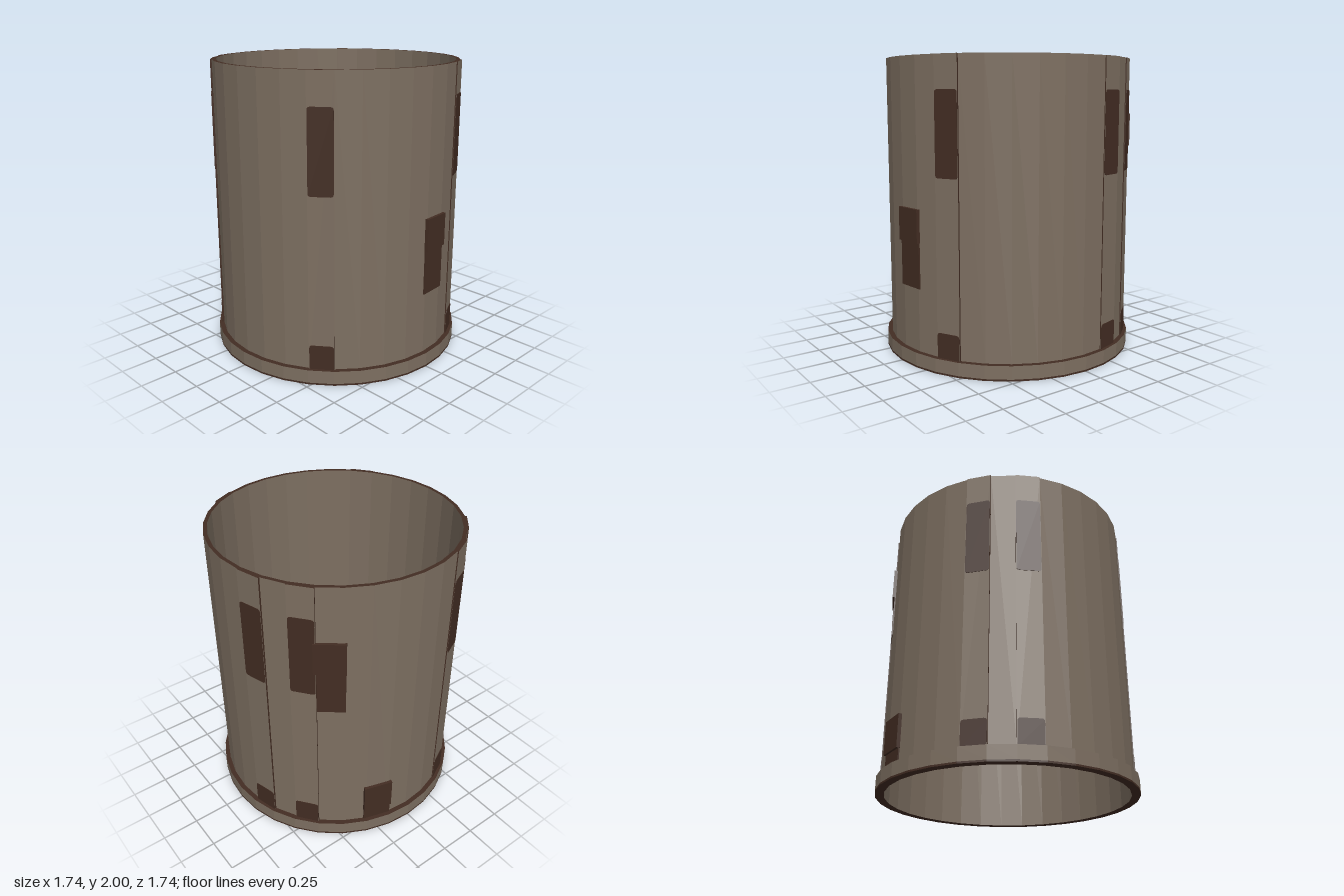
import * as THREE from 'three';

const SIDES = 32;
const STEP = (Math.PI * 2) / SIDES;
const WALL = 0.835, INNER = 0.81, BASE = 0.868;
const HEIGHT = 2, BASE_TOP = 0.1;

export function createModel() {
  const model = new THREE.Group();
  model.name = 'openCylinder';

  const material = (name, color) => {
    const m = new THREE.MeshStandardMaterial({ color, flatShading: true });
    m.name = name;
    return m;
  };
  const taupe = material('taupe', 0x7d6f61);
  const brown = material('darkBrown', 0x432d23);

  const add = (parent, name, geometry, mat, x = 0, y = 0, z = 0) => {
    const mesh = new THREE.Mesh(geometry, mat);
    mesh.name = name;
    mesh.position.set(x, y, z);
    parent.add(mesh);
    return mesh;
  };

  // Faceted surface of revolution; profile runs up the outside and down the inside
  const shell = (name, profile, mat) =>
    add(model, name, new THREE.LatheGeometry(profile.map(([r, y]) => new THREE.Vector2(r, y)), SIDES), mat);

  shell('outerWall', [[WALL, BASE_TOP], [WALL, HEIGHT]], taupe);
  shell('topRim', [[WALL, HEIGHT], [INNER, HEIGHT]], brown);
  shell('innerWall', [[INNER, HEIGHT], [INNER, 0]], taupe);
  shell('baseUnderside', [[INNER, 0], [BASE, 0], [BASE, 0.012]], brown);
  shell('baseBand', [[BASE, 0.012], [BASE, BASE_TOP]], taupe);
  shell('baseLedge', [[BASE, BASE_TOP], [WALL, BASE_TOP]], brown);

  // Group whose local z points out of one facet of the wall
  const facet = (name, index) => {
    const group = new THREE.Group();
    group.name = name;
    group.rotation.y = (index + 0.5) * STEP;
    model.add(group);
    return group;
  };
  const apothem = (r) => r * Math.cos(STEP / 2);

  // Thin dark patch with rounded corners
  const patch = (w, h) => {
    const s = new THREE.Shape(), x = w / 2, y = h / 2, r = 0.02;
    s.moveTo(-x + r, -y);
    s.lineTo(x - r, -y); s.quadraticCurveTo(x, -y, x, -y + r);
    s.lineTo(x, y - r); s.quadraticCurveTo(x, y, x - r, y);
    s.lineTo(-x + r, y); s.quadraticCurveTo(-x, y, -x, y - r);
    s.lineTo(-x, -y + r); s.quadraticCurveTo(-x, -y, -x + r, -y);
    return new THREE.ExtrudeGeometry(s, { depth: 0.003, bevelEnabled: false, curveSegments: 3 });
  };

  // Raised vertical strips, each with a long upper patch and a short lower one
  const stripWidth = 2 * 0.844 * Math.sin(STEP / 2);
  const face = apothem(0.844);
  for (const index of [3, 10, 17, 19, 26, 28]) {
    const group = facet('strip', index);
    const tilted = new THREE.Group();
    tilted.name = 'stripPanel';
    tilted.position.z = face;
    tilted.rotation.y = -0.03;
    group.add(tilted);
    const length = HEIGHT - BASE_TOP;
    add(tilted, 'stripBar', new THREE.BoxGeometry(stripWidth, length, 0.016),
      [brown, brown, brown, brown, taupe, taupe], 0, BASE_TOP + length / 2, -0.008);
    for (const [low, high] of [[1.25, 1.79], [0.09, 0.265]]) {
      add(tilted, 'stripPatch', patch(stripWidth - 0.006, high - low), brown, 0, (low + high) / 2, 0);
    }
  }

  // Raised blocks with a flat plate hanging below
  for (const [index, plateLow, blockLow] of [[8, 0.52, 0.82], [20, 1.11, 1.41], [22, 0.09, 0.19]]) {
    const group = facet('hatch', index);
    const z = apothem(WALL);
    add(group, 'hatchBlock', new THREE.BoxGeometry(0.2, 0.22, 0.03), brown, 0, blockLow + 0.11, z + 0.005);
    add(group, 'hatchPlate', new THREE.BoxGeometry(0.195, blockLow - plateLow, 0.009), brown,
      0, (plateLow + blockLow) / 2, z + 0.001);
  }
  return model;
}
